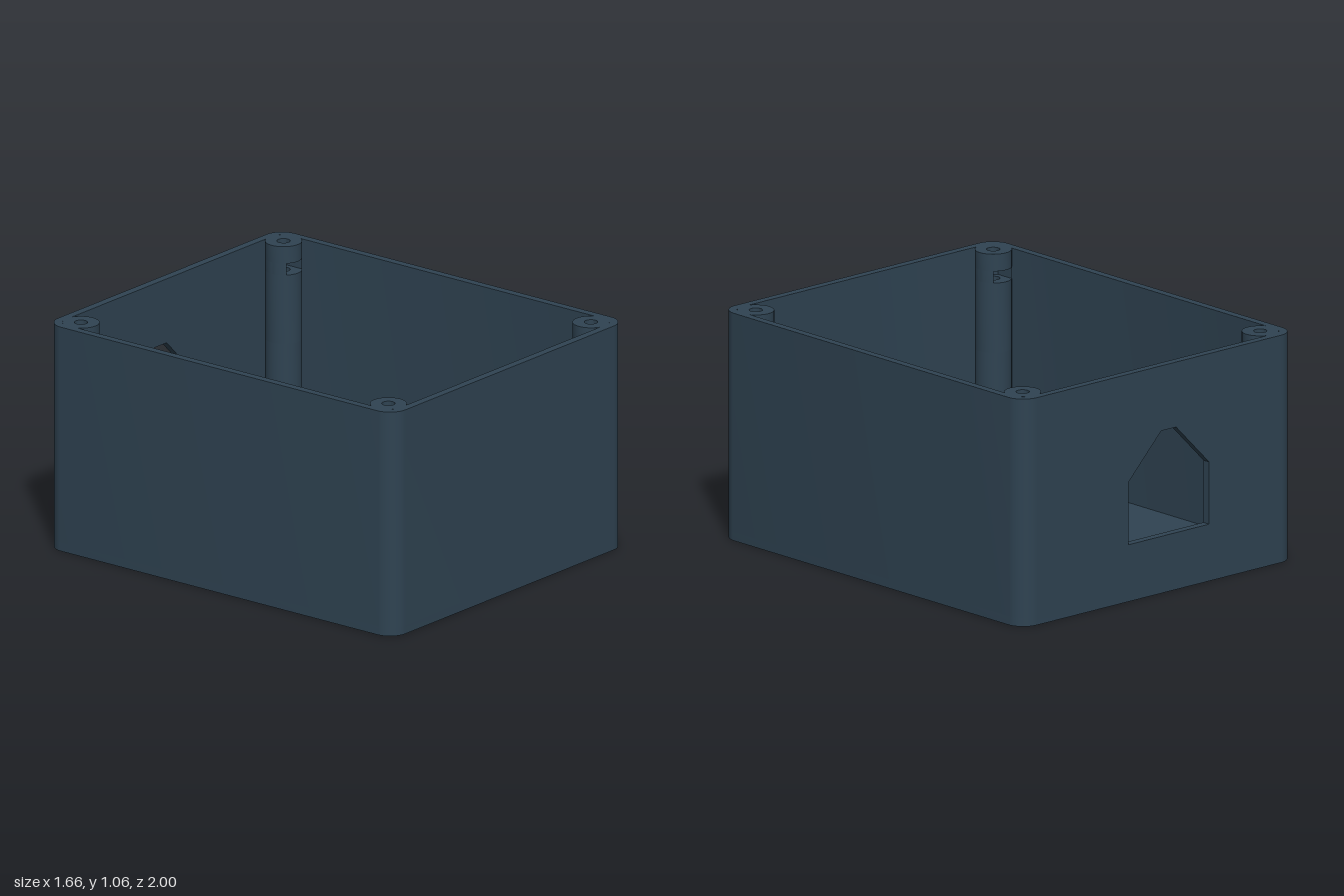
import * as THREE from 'three';
import { toCreasedNormals } from 'three/addons/utils/BufferGeometryUtils.js';

const W = 0.83, D = 1.0, H = 1.06;      // half width, half depth, height
const WALL = 0.038, FLOOR = 0.04, R = 0.09;
const POST_X = 0.72, POST_Z = 0.885, POST_R = 0.083, BORE_R = 0.03;
const SLOT_LOW = 0.925, SLOT_HIGH = 0.98;
const HALF_PI = Math.PI / 2;

const shell = new THREE.MeshStandardMaterial({ color: 0x2f4352 });

function part(name, geometry) {
  const mesh = new THREE.Mesh(toCreasedNormals(geometry, 0.5), shell);
  mesh.name = name;
  return mesh;
}

// Extrudes a plan shape (shape y = -z) upward between two heights
function slab(shape, low, high) {
  const g = new THREE.ExtrudeGeometry(shape, { depth: high - low, bevelEnabled: false, curveSegments: 16 });
  return g.rotateX(-HALF_PI).translate(0, low, 0);
}

function addHole(shape, x, y, r) {
  shape.holes.push(new THREE.Path().absarc(x, y, r, 0, Math.PI * 2, true));
  return shape;
}

function disc(r) {
  return new THREE.Shape().absarc(0, 0, r, 0, Math.PI * 2, false);
}

// Calls fn once for each corner sign pair
function corners(fn) {
  for (const sx of [-1, 1]) for (const sz of [-1, 1]) fn(sx, sz);
}

function makeFloor() {
  const cx = W - R, cy = D - R;
  const s = new THREE.Shape();
  s.absarc(cx, cy, R, 0, HALF_PI, false);
  s.absarc(-cx, cy, R, HALF_PI, Math.PI, false);
  s.absarc(-cx, -cy, R, Math.PI, 3 * HALF_PI, false);
  s.absarc(cx, -cy, R, 3 * HALF_PI, 4 * HALF_PI, false);
  corners((sx, sz) => addHole(s, sx * 0.6, sz * 0.77, 0.045));
  return part('floor', slab(s, 0, FLOOR));
}

// Front and side walls in one piece, open along the straight part of the back
function makeWalls() {
  const cx = W - R, cy = D - R, r = R - WALL;
  const s = new THREE.Shape();
  s.moveTo(-cx, D);
  s.absarc(-cx, cy, R, HALF_PI, Math.PI, false);
  s.absarc(-cx, -cy, R, Math.PI, 3 * HALF_PI, false);
  s.absarc(cx, -cy, R, 3 * HALF_PI, 4 * HALF_PI, false);
  s.absarc(cx, cy, R, 0, HALF_PI, false);
  s.lineTo(cx, D - WALL);
  s.absarc(cx, cy, r, HALF_PI, 0, true);
  s.absarc(cx, -cy, r, 0, -HALF_PI, true);
  s.absarc(-cx, -cy, r, -HALF_PI, -Math.PI, true);
  s.absarc(-cx, cy, r, Math.PI, HALF_PI, true);
  return part('frontAndSideWalls', slab(s, FLOOR, H));
}

// Back wall with a chamfered opening
function makeBackWall() {
  const cx = W - R, mid = -0.06;
  const s = new THREE.Shape();
  s.moveTo(-cx, FLOOR).lineTo(cx, FLOOR).lineTo(cx, H).lineTo(-cx, H).closePath();
  const opening = [[-0.245, 0.265], [-0.245, 0.555], [-0.045, 0.757], [0.045, 0.757], [0.245, 0.555], [0.245, 0.265]];
  s.holes.push(new THREE.Path(opening.map(([x, y]) => new THREE.Vector2(mid + x, y))));
  const g = new THREE.ExtrudeGeometry(s, { depth: WALL, bevelEnabled: false });
  return part('backWall', g.translate(0, 0, -D));
}

// Screw post with a bore and a nut slot near its top, opening toward +z
function makePost() {
  const post = new THREE.Group();
  post.name = 'screwPost';
  const half = 0.055, a = Math.asin(half / POST_R);
  const notch = new THREE.Shape();
  notch.absarc(0, 0, POST_R, -HALF_PI + a, 3 * HALF_PI - a, false);
  notch.lineTo(-half, 0.03).lineTo(0, 0.055).lineTo(half, 0.03).closePath();
  post.add(
    part('postBase', slab(disc(POST_R), FLOOR, 0.6)),
    part('postShaft', slab(addHole(disc(POST_R), 0, 0, BORE_R), 0.6, SLOT_LOW)),
    part('nutSlot', slab(notch, SLOT_LOW, SLOT_HIGH)),
    part('postTop', slab(addHole(disc(POST_R), 0, 0, BORE_R), SLOT_HIGH, H)),
  );
  return post;
}

// Countersunk lining of a mounting hole
function makeCountersink() {
  const profile = [[0.045, 0], [0.025, 0.022], [0.025, FLOOR], [0.046, FLOOR]];
  const g = new THREE.LatheGeometry(profile.map(([x, y]) => new THREE.Vector2(x, y)), 32);
  const mesh = part('mountingHole', g);
  mesh.material = lining;
  return mesh;
}
const lining = shell;
shell.side = THREE.DoubleSide;

export function createModel() {
  const model = new THREE.Group();
  model.name = 'enclosure';
  model.add(makeFloor(), makeWalls(), makeBackWall());
  corners((sx, sz) => {
    const post = makePost();
    post.position.set(sx * POST_X, 0, sz * POST_Z);
    if (sz > 0) post.rotation.y = Math.PI;   // slots face the middle
    const hole = makeCountersink();
    hole.position.set(sx * 0.6, 0, sz * 0.77);
    model.add(post, hole);
  });
  return model;
}
